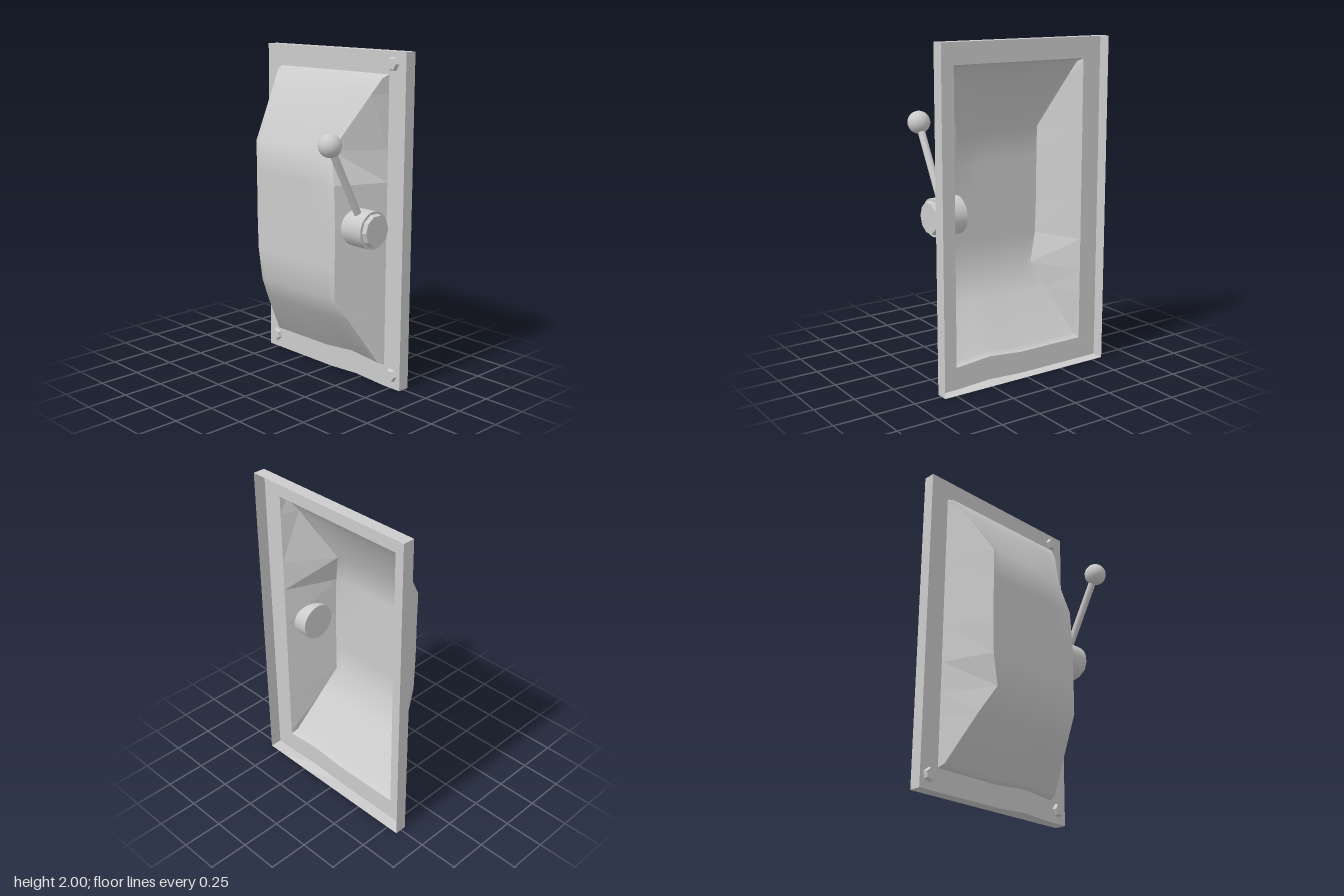
import * as THREE from 'three';

const metal = new THREE.MeshStandardMaterial({ color: 0xcccccc });
const sheet = new THREE.MeshStandardMaterial({ color: 0xcccccc, side: THREE.DoubleSide });
const PLATE = -0.215, BACK = -0.29, W = 0.575, H = 2, OPEN = 0.45;

// Rows of [x, y, z] points joined into a surface
function gridGeometry(rows, smooth) {
  const n = rows[0].length, index = [];
  for (let r = 0; r < rows.length - 1; r++) {
    for (let c = 0; c < n - 1; c++) {
      const a = r * n + c, d = a + n;
      index.push(a, a + 1, d, a + 1, d + 1, d);
    }
  }
  let g = new THREE.BufferGeometry();
  g.setAttribute('position', new THREE.Float32BufferAttribute(rows.flat(2), 3));
  g.setIndex(index);
  if (!smooth) g = g.toNonIndexed();
  g.computeVertexNormals();
  return g;
}

function addMesh(parent, name, geometry, material = metal) {
  const m = new THREE.Mesh(geometry, material);
  m.name = name;
  parent.add(m);
  return m;
}

// Slight dent along the lower edges, peaking at x = 0.22
const dent = (x) => Math.max(0, 1 - Math.abs(x - 0.22) / 0.22);

function backPlate() {
  const group = new THREE.Group();
  group.name = 'backPlate';
  const xs = [-W, 0, 0.22, 0.44, W];
  const outline = [...xs.map((x) => [x, 0.012 * dent(x)]), [W, H], [-W, H], [-W, 0]];
  const shape = new THREE.Shape(outline.slice(0, -1).map(([x, y]) => new THREE.Vector2(x, y)));
  const hole = [[-OPEN, 1.87], [OPEN, 1.87], [OPEN, 0.135], [0.22, 0.155], [0, 0.135], [-OPEN, 0.135]];
  shape.holes.push(new THREE.Path(hole.map(([x, y]) => new THREE.Vector2(x, y))));
  addMesh(group, 'plateFace', new THREE.ShapeGeometry(shape).translate(0, 0, PLATE), sheet);

  // Folded edge, open at the back
  const rim = [outline.map(([x, y]) => [x, y < 0.1 ? 0 : y, BACK]), outline.map(([x, y]) => [x, y, PLATE])];
  addMesh(group, 'plateRim', gridGeometry(rim, false), sheet);
  return group;
}

function bulgedCover() {
  const group = new THREE.Group();
  group.name = 'bulgedCover';
  // y, z, left edge x, right edge x, right edge z
  const sections = [
    [0.135, PLATE, -0.45, 0.45, PLATE],
    [0.155, -0.17, -0.44, 0.44, -0.17],
    [0.43, 0.003, -0.355, 0.371, 0.003],
    [0.575, 0.095, -0.30, 0.335, 0.095],
    [0.77, 0.095, -0.333, 0.335, 0.095],
    [1.0, 0.095, -0.34, 0.335, 0.095],
    [1.25, 0.095, -0.34, 0.32, 0.09],
    [1.44, 0.095, -0.343, 0.265, 0.055],
    [1.76, -0.112, -0.415, 0.408, -0.112],
    [1.85, -0.17, -0.438, 0.44, -0.17],
    [1.87, PLATE, -0.45, 0.45, PLATE],
  ];
  const steps = 12;
  const front = sections.map(([y, z, xl, xr, zr]) => Array.from({ length: steps + 1 }, (_, i) => {
    const x = xl + (xr - xl) * i / steps;
    const pull = Math.max(0, (x - 0.05) / (xr - 0.05));
    return [x, y + (y < 0.2 ? 0.02 * dent(x) : 0), z + (zr - z) * pull];
  }));
  addMesh(group, 'coverFront', gridGeometry(front, true), sheet);

  // Sloping side walls
  const left = sections.map(([y, z, xl]) => [[-OPEN, y, PLATE], [xl, y, z]]);
  const right = sections.map(([y, , , xr, zr]) => [[xr, y, zr], [OPEN, y, PLATE]]);
  addMesh(group, 'coverSideRight', gridGeometry(left, false), sheet);
  addMesh(group, 'coverSideLeft', gridGeometry(right, false), sheet);
  return group;
}

function handle() {
  const group = new THREE.Group();
  group.name = 'handle';
  group.position.set(0, 1, -0.053);

  // Hub passing through the side wall, with a faceted cap
  const hub = addMesh(group, 'hub', new THREE.CylinderGeometry(0.112, 0.112, 0.165, 32));
  hub.rotation.z = -Math.PI / 2;
  hub.position.x = 0.4175;
  const capMaterial = metal.clone();
  capMaterial.flatShading = true;
  const cap = addMesh(group, 'hubCap', new THREE.CylinderGeometry(0.092, 0.1, 0.027, 10), capMaterial);
  cap.rotation.z = -Math.PI / 2;
  cap.position.x = 0.5125;

  // Lever and ball knob
  const knobAt = new THREE.Vector3(0.42, 0.508, 0.276);
  const start = new THREE.Vector3(0.42, 0.06, 0.033);
  const along = knobAt.clone().sub(start);
  const lever = addMesh(group, 'lever', new THREE.CylinderGeometry(0.022, 0.022, along.length(), 16));
  lever.position.copy(start).addScaledVector(along, 0.5);
  lever.quaternion.setFromUnitVectors(new THREE.Vector3(0, 1, 0), along.normalize());
  const knob = addMesh(group, 'knob', new THREE.SphereGeometry(0.067, 24, 16));
  knob.position.copy(knobAt);
  return group;
}

function bolts() {
  const group = new THREE.Group();
  group.name = 'bolts';
  const boltMaterial = metal.clone();
  boltMaterial.flatShading = true;
  const head = new THREE.CylinderGeometry(0.035, 0.044, 0.022, 6).rotateX(Math.PI / 2);
  for (const [x, y, turn] of [[0.48, 1.93, 0.5], [-0.51, 0.083, 0.15], [0.51, 0.083, 0.5]]) {
    const bolt = addMesh(group, 'bolt', head, boltMaterial);
    bolt.position.set(x, y, PLATE + 0.01);
    bolt.rotation.z = turn;
  }
  return group;
}

export function createModel() {
  const model = new THREE.Group();
  model.name = 'leverPanel';
  model.add(backPlate(), bulgedCover(), handle(), bolts());
  return model;
}
